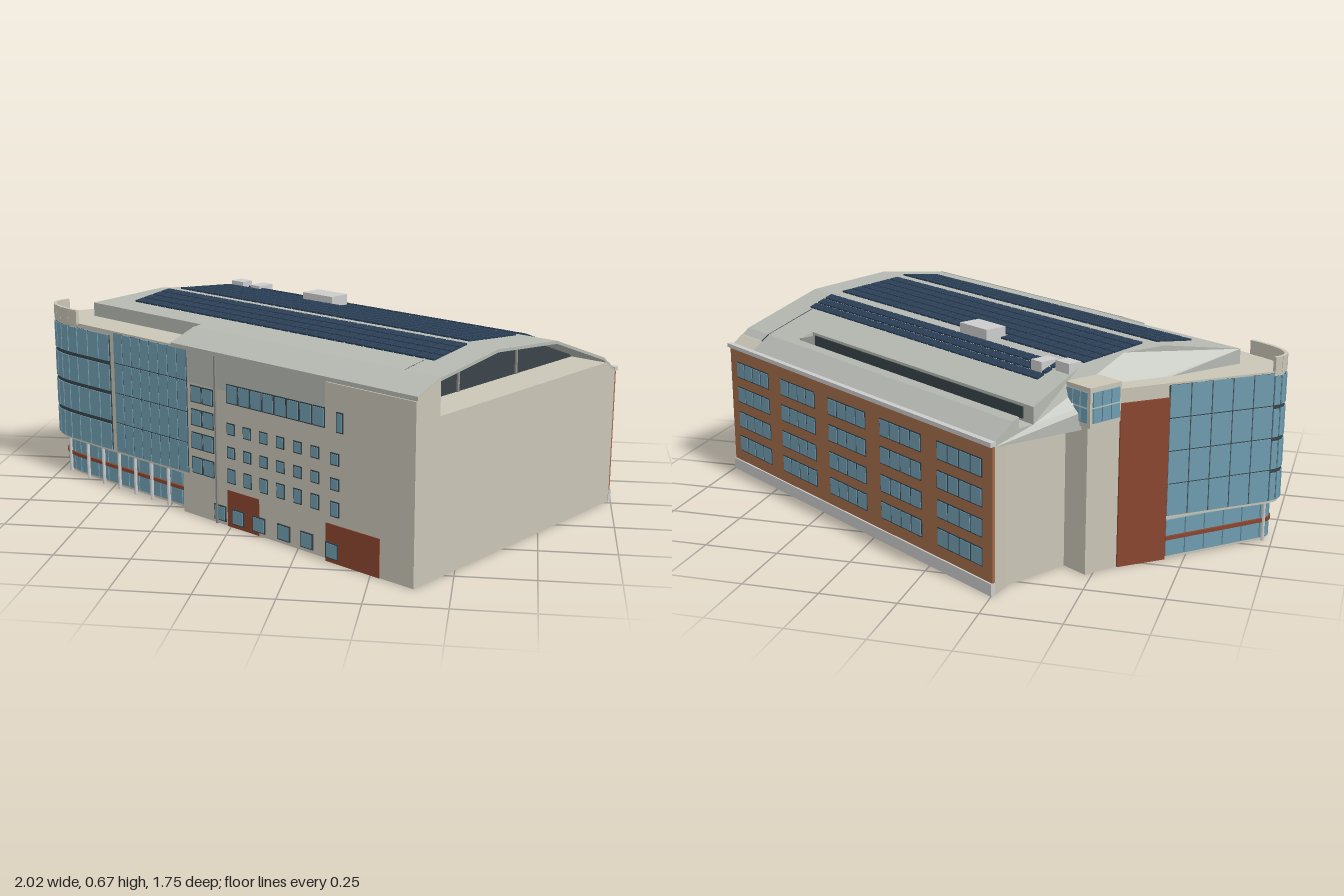
import * as THREE from 'three';
import { mergeGeometries } from 'three/addons/utils/BufferGeometryUtils.js';

const mat = (color) => new THREE.MeshStandardMaterial({ color, flatShading: true, side: THREE.DoubleSide });
const wall = mat(0xc9c5b6), roofMat = mat(0xb6b9b2), brick = mat(0xa36c4a), rust = mat(0x8a4630);
const glass = mat(0x6f9db0), dark = mat(0x3a444a), solar = mat(0x2b3f56), grey = mat(0xcccccc), stone = mat(0x8f8f8b);

// Local frame: x along the building, z towards the entrance facade
export function createModel() {
  const model = new THREE.Group();
  const b = new THREE.Group();
  b.name = 'building';
  b.rotation.y = -0.597;
  model.add(b);

  const add = (name, geometry, material) => {
    const m = new THREE.Mesh(geometry, material);
    m.name = name;
    b.add(m);
    return m;
  };
  // Box given by its ranges
  const boxGeo = (x0, x1, y0, y1, z0, z1) =>
    new THREE.BoxGeometry(x1 - x0, y1 - y0, z1 - z0).translate((x0 + x1) / 2, (y0 + y1) / 2, (z0 + z1) / 2);
  const box = (name, material, ...r) => add(name, boxGeo(...r), material);
  // Footprint of [x, z] points raised from y0 to y1
  const raise = (name, pts, y0, y1, material) => {
    const s = new THREE.Shape(pts.map(([x, z]) => new THREE.Vector2(x, -z)));
    const g = new THREE.ExtrudeGeometry(s, { depth: y1 - y0, bevelEnabled: false });
    return add(name, g.rotateX(-Math.PI / 2).translate(0, y0, 0), material);
  };
  // Cross-section of [z, y] points drawn out from x0 to x1
  const prism = (name, pts, x0, x1, material) => {
    const s = new THREE.Shape(pts.map(([z, y]) => new THREE.Vector2(-z, y)));
    const g = new THREE.ExtrudeGeometry(s, { depth: x1 - x0, bevelEnabled: false });
    return add(name, g.rotateY(Math.PI / 2).translate(x0, 0, 0), material);
  };
  // Upright panels following a path of [x, z] points
  const panels = (name, path, y0, y1, thick, gap, material) => {
    const parts = [];
    for (let i = 0; i < path.length - 1; i++) {
      const [ax, az] = path[i], [cx, cz] = path[i + 1];
      const g = new THREE.BoxGeometry(Math.hypot(cx - ax, cz - az) - gap, y1 - y0, thick);
      g.rotateY(Math.atan2(az - cz, cx - ax));
      parts.push(g.translate((ax + cx) / 2, (y0 + y1) / 2, (az + cz) / 2));
    }
    add(name, mergeGeometries(parts), material);
  };
  const split = (a, c, n) => Array.from({ length: n + 1 }, (_, i) =>
    [a[0] + (c[0] - a[0]) * i / n, a[1] + (c[1] - a[1]) * i / n]);

  // Glazed corner: straight front, rounded corner, slanted end
  const corner = (k) => new THREE.QuadraticBezierCurve(
    new THREE.Vector2(-0.74, 0.485 - k), new THREE.Vector2(-0.965 + k, 0.485 - k),
    new THREE.Vector2(-0.934 + k, 0.37)).getPoints(8).map((p) => [p.x, p.y]);
  const endCorner = [-0.82, 0.02];
  const arc = corner(0), arcIn = corner(0.03);

  // Main body and overhanging upper storeys
  raise('mainBody', [[0.81, 0.5], [0.81, -0.573], [-0.7, -0.573], [-0.668, -0.5], [-0.66, -0.26],
    [-0.757, -0.26], [-0.77, -0.14], endCorner, ...arcIn.slice().reverse(),
    [-0.166, 0.455], [-0.166, 0.485], [0.46, 0.485], [0.46, 0.5]], 0, 0.47, wall);
  raise('upperStoreys', [[-0.166, 0.3], [-0.6, -0.26], [-0.757, -0.26], [-0.77, -0.14], endCorner,
    ...arc.slice().reverse(), [-0.166, 0.485]], 0.135, 0.575, wall);
  box('frontWall', wall, -0.2, 0.46, 0, 0.585, 0.455, 0.487);
  box('frontEndWall', wall, 0.46, 0.81, 0, 0.57, 0.47, 0.502);

  // Curtain walls
  const front = split([-0.54, 0.485], [-0.17, 0.485], 8);
  const bend = [...split([-0.565, 0.485], [-0.74, 0.485], 3), ...arc.slice(1)];
  const end = split([-0.934, 0.37], endCorner, 5);
  for (let f = 0; f < 4; f++) {
    const y = 0.145 + f * 0.107;
    panels('frontGlazing', front, y, y + 0.103, 0.014, 0.004, glass);
    panels('cornerGlazing', bend, y, y + 0.093, 0.014, 0.004, glass);
    panels('endGlazing', end, y, y + 0.103, 0.014, 0.004, glass);
  }
  panels('frontMullions', [front[0], front[8]], 0.145, 0.569, 0.009, 0, dark);
  panels('endMullions', [end[0], end[5]], 0.145, 0.569, 0.009, 0, dark);
  panels('cornerMullions', bend, 0.145, 0.559, 0.007, 0, dark);
  panels('cornerParapet', arc, 0.57, 0.622, 0.012, 0, wall);

  // Recessed ground storey with slim columns
  const ground = [...split([-0.18, 0.455], [-0.74, 0.455], 10), ...arcIn.slice(1),
    ...split([-0.904, 0.37], endCorner, 5).slice(1)];
  panels('groundGlazing', ground, 0.01, 0.062, 0.012, 0.004, glass);
  panels('groundBand', ground, 0.064, 0.076, 0.02, 0, rust);
  panels('groundGlazing', ground, 0.078, 0.13, 0.012, 0.004, glass);
  for (const [x, z] of [...split([-0.2, 0.478], [-0.72, 0.478], 6), [-0.85, 0.455], [-0.915, 0.38]])
    add('column', new THREE.CylinderGeometry(0.006, 0.006, 0.137, 8).translate(x, 0.0685, z), grey);

  // End wall panel and glazed bay
  panels('endPanel', [[-0.77, -0.14], endCorner], 0, 0.53, 0.014, 0, rust);
  box('bay', wall, -0.775, -0.66, 0.475, 0.6, -0.268, -0.14);
  for (const y of [0.49, 0.54]) {
    panels('bayWindow', split([-0.776, -0.26], [-0.776, -0.148], 3), y, y + 0.045, 0.008, 0.004, glass);
    panels('bayWindow', split([-0.768, -0.268], [-0.67, -0.268], 3), y, y + 0.045, 0.008, 0.004, glass);
  }

  // Roof cross-section
  const top = [[0.39, 0.62], [0.11, 0.657], [-0.02, 0.646], [-0.21, 0.63], [-0.5, 0.525], [-0.573, 0.47]];
  const roofY = (z) => {
    const i = Math.max(0, top.findIndex((p, k) => k < top.length - 1 && z >= top[k + 1][0]));
    const [z0, y0] = top[i], [z1, y1] = top[i + 1];
    return y0 + (y1 - y0) * (z - z0) / (z1 - z0);
  };
  const slot = [[-0.42, 0.554], [-0.42, 0.5], [-0.475, 0.5], [-0.475, 0.534]];
  const slotted = [...top.slice(0, 4), ...slot, ...top.slice(4)];
  const eave = [[0.488, 0.46], [0.488, 0.585]];
  const west = prism('roofWest', [[0.36, 0.46], [0.36, 0.624], ...slotted.slice(1), [-0.573, 0.46]], -0.66, -0.235, roofMat);
  const p = west.geometry.attributes.position;
  for (let i = 0; i < p.count; i++) { // skew the free end
    const z = p.getZ(i);
    if (p.getX(i) < -0.5) p.setX(i, z > -0.02 ? -0.66 - (z + 0.02) * 0.37 : z < -0.3 ? -0.695 : -0.66);
  }
  west.geometry.computeVertexNormals();
  prism('roofMiddle', [...eave, ...slotted, [-0.573, 0.46]], -0.235, 0.5, roofMat);
  prism('roofEast', [...eave, ...top, [-0.573, 0.46]], 0.5, 0.67, roofMat);
  box('slotWindows', dark, -0.65, 0.48, 0.508, 0.545, -0.424, -0.419);
  box('slotEnd', stone, 0.495, 0.499, 0.5, 0.54, -0.475, -0.42);

  // Open gable: ledge, set-back glazing, overhanging roof
  prism('gableLedge', [[0.4, 0.46], [0.4, 0.505], [-0.53, 0.505], [-0.573, 0.47], [-0.573, 0.46]], 0.67, 0.81, wall);
  prism('gableShoulder', [[0.5, 0.46], [0.495, 0.583], [0.39, 0.62], [0.39, 0.46]], 0.67, 0.81, wall);
  prism('gableGlazing', [[0.39, 0.505], ...top.slice(0, 5), [-0.53, 0.505]], 0.668, 0.674, dark);
  for (const z of [0.13, -0.18])
    box('gableMullion', stone, 0.672, 0.68, 0.505, roofY(z) - 0.01, z - 0.004, z + 0.004);
  prism('gableRoof', [...top, ...top.slice().reverse().map(([z, y]) => [z, y - 0.01])], 0.67, 0.81, roofMat);
  prism('eaveSlope', [[0.497, 0.584], [0.39, 0.622], [0.39, 0.61], [0.497, 0.57]], -0.235, 0.81, roofMat);

  // Solar panels lying on the roof slopes
  const cells = [];
  for (const [x0, x1, z0, z1, rows, cols] of [[-0.66, 0.705, 0.122, 0.288, 4, 34],
    [-0.645, 0.68, -0.175, 0.08, 6, 33], [-0.59, 0.685, -0.315, -0.215, 3, 32]]) {
    const w = (x1 - x0) / cols, d = (z1 - z0) / rows;
    for (let r = 0; r < rows; r++) for (let c = 0; c < cols; c++) {
      const z = z0 + (r + 0.5) * d, x = x0 + (c + 0.5) * w;
      if (z < -0.05 && z > -0.2 && x > -0.25 && x < -0.06 && z < -0.12) continue;
      const g = new THREE.BoxGeometry(w - 0.006, 0.006, d - 0.005);
      g.rotateX(-Math.atan2(roofY(z + 0.01) - roofY(z - 0.01), 0.02));
      cells.push(g.translate(x, roofY(z) + 0.004, z));
    }
  }
  add('solarPanels', mergeGeometries(cells), solar);

  // Rooftop plant
  box('roofUnit', grey, -0.225, -0.085, 0.62, 0.666, -0.215, -0.135);
  box('roofHatch', grey, -0.66, -0.6, 0.6, 0.648, -0.25, -0.2);
  box('roofHatch', grey, -0.57, -0.52, 0.6, 0.64, -0.28, -0.21);

  // Brick rear facade
  box('brickWall', brick, -0.7, 0.81, 0.04, 0.465, -0.58, -0.57);
  box('rearPlinth', grey, -0.7, 0.812, 0, 0.04, -0.586, -0.57);
  box('rearGutter', grey, -0.705, 0.812, 0.466, 0.48, -0.59, -0.57);
  for (let g = 0; g < 5; g++) for (const y of [0.08, 0.172, 0.267, 0.36]) {
    const x = 0.765 - g * 0.3;
    box('rearWindowFrame', dark, x - 0.22, x, y, y + 0.06, -0.582, -0.575);
    panels('rearWindow', split([x - 0.22, -0.582], [x, -0.582], 4), y + 0.004, y + 0.056, 0.004, 0.007, glass);
  }

  // Front facade windows, placed by their centre
  const win = (x, y0, y1, w, z = 0.487) => {
    box('frontWindowFrame', dark, x - w / 2, x + w / 2, y0, y1, z - 0.01, z + 0.002);
    box('frontWindow', glass, x - w / 2 + 0.004, x + w / 2 - 0.004, y0 + 0.004, y1 - 0.004, z - 0.01, z + 0.004);
  };
  for (const y of [0.15, 0.235, 0.315, 0.395])
    for (const x of [-0.127, -0.072]) win(x, y, y + 0.058, 0.052);
  for (let i = 0; i < 7; i++) {
    const x = 0.035 + i * 0.074;
    for (const [y0, y1] of [[0.15, 0.2], [0.235, 0.275], [0.315, 0.355]])
      win(i < 6 ? x : 0.5, y0, y1, 0.036, i < 6 ? 0.487 : 0.502);
  }
  for (let i = 0; i < 8; i++) win(0.043 + i * 0.054, 0.42, 0.485, 0.052);
  win(0.52, 0.42, 0.485, 0.028, 0.502);
  box('entrancePanel', rust, 0.015, 0.16, 0, 0.125, 0.48, 0.489);
  box('entrancePanel', rust, 0.465, 0.68, 0, 0.125, 0.49, 0.505);
  for (const x of [-0.02, 0.065, 0.16, 0.27, 0.37]) win(x, 0.012, 0.065, 0.055, 0.489);
  win(0.49, 0.012, 0.065, 0.05, 0.505);
  box('downpipe', stone, -0.035, -0.028, 0, 0.57, 0.485, 0.495);
  return model;
}
